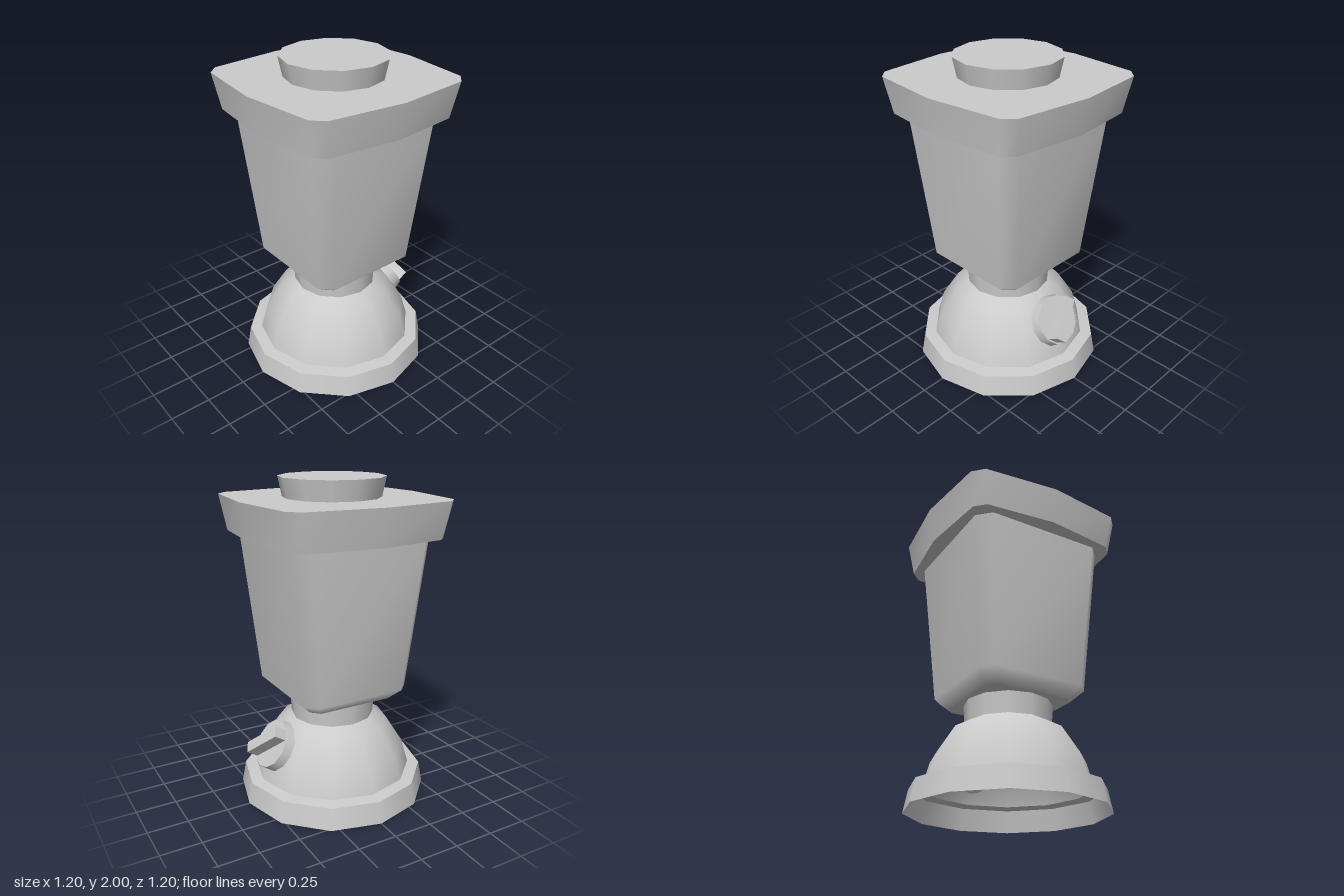
import * as THREE from 'three';

const SIDES = 12;
const material = new THREE.MeshStandardMaterial({ color: 0xcccccc });
const openMaterial = new THREE.MeshStandardMaterial({ color: 0xcccccc, side: THREE.DoubleSide });

function addMesh(parent, name, geometry, mat = material) {
  const mesh = new THREE.Mesh(geometry, mat);
  mesh.name = name;
  parent.add(mesh);
  return mesh;
}

function lathe(points) {
  return new THREE.LatheGeometry(points.map(([r, y]) => new THREE.Vector2(r, y)), SIDES);
}

// Repeats one quarter of an outline four times around the y axis
function fourfold(quarter) {
  const outline = [];
  let points = quarter;
  for (let k = 0; k < 4; k++) {
    outline.push(...points);
    points = points.map(([x, z]) => [z, -x]);
  }
  return outline;
}

// Smooth-sided loft through outlines stacked upwards, with flat end caps
function loft(sections) {
  const n = sections[0].outline.length;
  const positions = [];
  const indices = [];
  const addRing = ({ outline, y }) => outline.forEach(([x, z]) => positions.push(x, y, z));
  sections.forEach(addRing);
  for (let s = 0; s < sections.length - 1; s++) {
    for (let i = 0; i < n; i++) {
      const j = (i + 1) % n;
      const a = s * n + i, b = s * n + j;
      indices.push(a, b, b + n, a, b + n, a + n);
    }
  }
  const bottom = sections.length * n;
  const top = bottom + n;
  addRing(sections[0]);
  addRing(sections[sections.length - 1]);
  for (let i = 1; i < n - 1; i++) {
    indices.push(bottom, bottom + i + 1, bottom + i);
    indices.push(top, top + i, top + i + 1);
  }
  const geometry = new THREE.BufferGeometry();
  geometry.setAttribute('position', new THREE.Float32BufferAttribute(positions, 3));
  geometry.setIndex(indices);
  geometry.computeVertexNormals();
  return geometry;
}

export function createModel() {
  const model = new THREE.Group();
  model.name = 'blender';

  // Hollow base: outer wall, ledge and dome, open underneath
  const base = new THREE.Group();
  base.name = 'base';
  model.add(base);
  addMesh(base, 'baseWall', lathe([[0.6, 0], [0.575, 0.135]]), openMaterial);
  addMesh(base, 'baseLedge', lathe([[0.575, 0.135], [0.5, 0.145]]), openMaterial);
  addMesh(base, 'baseDome',
    lathe([[0.5, 0.145], [0.458, 0.295], [0.35, 0.465], [0.262, 0.515]]), openMaterial);

  // Neck under the jar
  const neck = addMesh(model, 'neck', new THREE.CylinderGeometry(0.27, 0.262, 0.13, SIDES));
  neck.position.y = 0.58;

  // Square jar with chamfered corners, tapering to a bevelled foot
  const jarSection = (y, half, corner) =>
    ({ y, outline: fourfold([[corner, half], [half, corner]]) });
  addMesh(model, 'jar', loft([
    jarSection(0.65, 0.287, 0.235),
    jarSection(0.72, 0.36, 0.287),
    jarSection(1.66, 0.445, 0.365),
  ]));

  // Flared lid whose sides bow out in the middle
  const lidSection = (y, s) => ({
    y,
    outline: fourfold([[0, 0.585 * s], [0.465 * s, 0.532 * s], [0.532 * s, 0.465 * s]]),
  });
  addMesh(model, 'lid', loft([lidSection(1.66, 0.93), lidSection(1.88, 1)]));

  const cap = addMesh(model, 'lidCap', new THREE.CylinderGeometry(0.32, 0.295, 0.12, SIDES));
  cap.position.y = 1.94;

  // Control knob on the back of the dome, its local y pointing outwards
  const knob = new THREE.Group();
  knob.name = 'knob';
  knob.position.set(0, 0.382, -0.4385);
  knob.rotation.x = -1.016;
  model.add(knob);
  const disc = addMesh(knob, 'knobDisc', new THREE.CylinderGeometry(0.155, 0.163, 0.063, SIDES));
  disc.position.y = -0.0315;
  const grip = addMesh(knob, 'knobGrip', new THREE.BoxGeometry(0.07, 0.08, 0.28));
  grip.position.y = 0.039;
  grip.rotation.y = -Math.PI / 4;

  return model;
}
